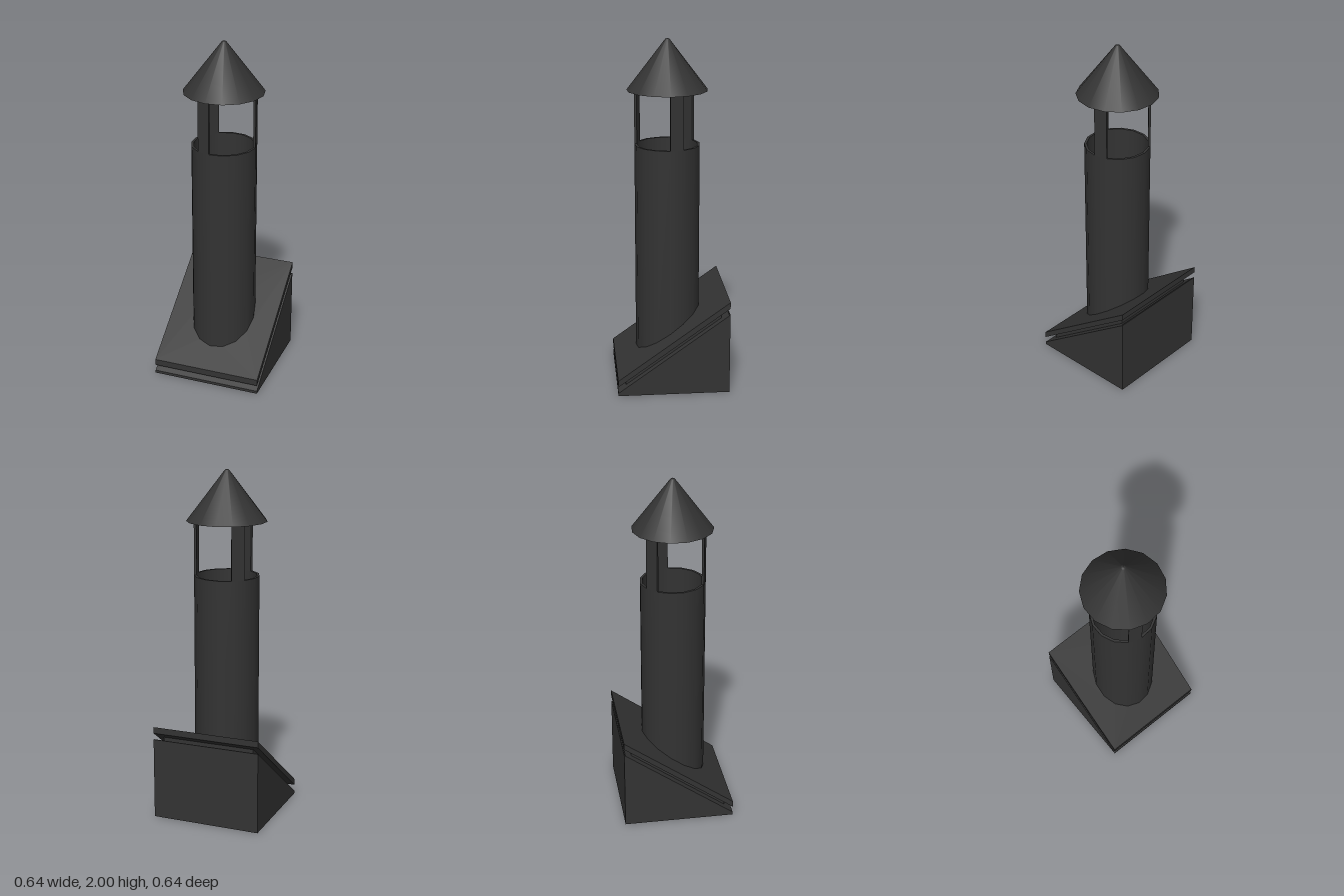
import * as THREE from 'three';

const SLOPE = 0.714;      // roof pitch
const SIDES = 15;
const PIPE_Z = 0.01;
const R_OUT = 0.187, R_IN = 0.173;
const PIPE_TOP = 1.4;
const HALF = 0.32;
const BASE_Y = 0.245, PLATE_Y = 0.283; // heights of the sloped planes at z = 0

const mat = new THREE.MeshStandardMaterial({ color: 0x333333, side: THREE.DoubleSide });

function add(group, name, geometry) {
  const mesh = new THREE.Mesh(geometry, mat);
  mesh.name = name;
  group.add(mesh);
  return mesh;
}

const square = (h) => [[-h, -h], [h, -h], [h, h], [-h, h]].map(([x, z]) => new THREE.Vector2(x, z));

const polar = (r, i) => {
  const a = (i / SIDES) * Math.PI * 2;
  return new THREE.Vector2(r * Math.cos(a), PIPE_Z + r * Math.sin(a));
};
const ring = (r) => Array.from({ length: SIDES }, (_, i) => polar(r, i));

// Extrudes an x-z outline between two heights, optionally sheared along the roof pitch
function slab(outline, hole, y0, y1, slope = 0) {
  const shape = new THREE.Shape(outline);
  if (hole) shape.holes.push(new THREE.Path(hole));
  const g = new THREE.ExtrudeGeometry(shape, { depth: y1 - y0, bevelEnabled: false });
  g.rotateX(Math.PI / 2).translate(0, y1, 0);
  const p = g.attributes.position;
  for (let i = 0; i < p.count; i++) p.setY(i, p.getY(i) - slope * p.getZ(i));
  g.computeVertexNormals();
  return g;
}

// Open tube whose lower edge follows the roof pitch
function pipeWall(r) {
  const g = new THREE.CylinderGeometry(r, r, PIPE_TOP, SIDES, 1, true, Math.PI / 2);
  g.translate(0, PIPE_TOP / 2, PIPE_Z);
  const p = g.attributes.position;
  for (let i = 0; i < p.count; i++) {
    if (p.getY(i) < 0.01) p.setY(i, PLATE_Y - SLOPE * p.getZ(i));
  }
  return g;
}

export function createModel() {
  const model = new THREE.Group();
  model.name = 'chimney';

  // Hollow wedge base, open underneath
  const base = new THREE.Group();
  base.name = 'wedgeBase';
  model.add(base);
  const t = 0.006;
  const lowY = BASE_Y - SLOPE * HALF, highY = BASE_Y + SLOPE * HALF;
  const profile = new THREE.Shape([[-HALF, 0], [HALF, 0], [HALF, highY], [-HALF, lowY]]
    .map(([x, y]) => new THREE.Vector2(x, y)));
  for (const side of [-1, 1]) {
    const wall = new THREE.ExtrudeGeometry(profile, { depth: t, bevelEnabled: false });
    wall.rotateY(Math.PI / 2).translate(side > 0 ? HALF - t : -HALF, 0, 0);
    add(base, side > 0 ? 'leftWall' : 'rightWall', wall);
  }
  add(base, 'backWall', new THREE.BoxGeometry(HALF * 2, highY, t)
    .translate(0, highY / 2, -HALF + t / 2));
  add(base, 'frontWall', new THREE.BoxGeometry(HALF * 2, lowY, t)
    .translate(0, lowY / 2, HALF - t / 2));
  add(base, 'slopedFrame', slab(square(HALF), square(0.25), BASE_Y - t, BASE_Y, SLOPE));

  // Recessed collar and the roof plate above it
  add(model, 'collar', slab(square(0.275), square(0.25), BASE_Y, PLATE_Y, SLOPE));
  add(model, 'roofPlate', slab(square(HALF), ring(R_OUT), PLATE_Y, 0.32, SLOPE));

  // Pipe with inner and outer walls and rims
  const pipe = new THREE.Group();
  pipe.name = 'pipe';
  model.add(pipe);
  add(pipe, 'outerWall', pipeWall(R_OUT));
  add(pipe, 'innerWall', pipeWall(R_IN));
  add(pipe, 'topRim', slab(ring(R_OUT), ring(R_IN), PIPE_TOP - 0.004, PIPE_TOP));
  add(pipe, 'bottomRim', slab(ring(R_OUT), ring(R_IN), PLATE_Y - 0.004, PLATE_Y, SLOPE));

  // Three posts, each one facet of the pipe
  for (const i of [4, 9, 14]) {
    const outline = [polar(R_OUT, i), polar(R_OUT, i + 1), polar(R_IN, i + 1), polar(R_IN, i)];
    add(model, 'capPost', slab(outline, null, PIPE_TOP, 1.76));
  }

  // Hollow conical cap
  const cap = new THREE.CylinderGeometry(0.012, 0.23, 0.285, SIDES, 1, true, Math.PI / 2);
  add(model, 'cap', cap.translate(0, 1.71 + 0.1425, PIPE_Z));
  const tip = new THREE.ConeGeometry(0.012, 0.005, SIDES, 1, true, Math.PI / 2);
  add(model, 'capTip', tip.translate(0, 1.9975, PIPE_Z));

  return model;
}
